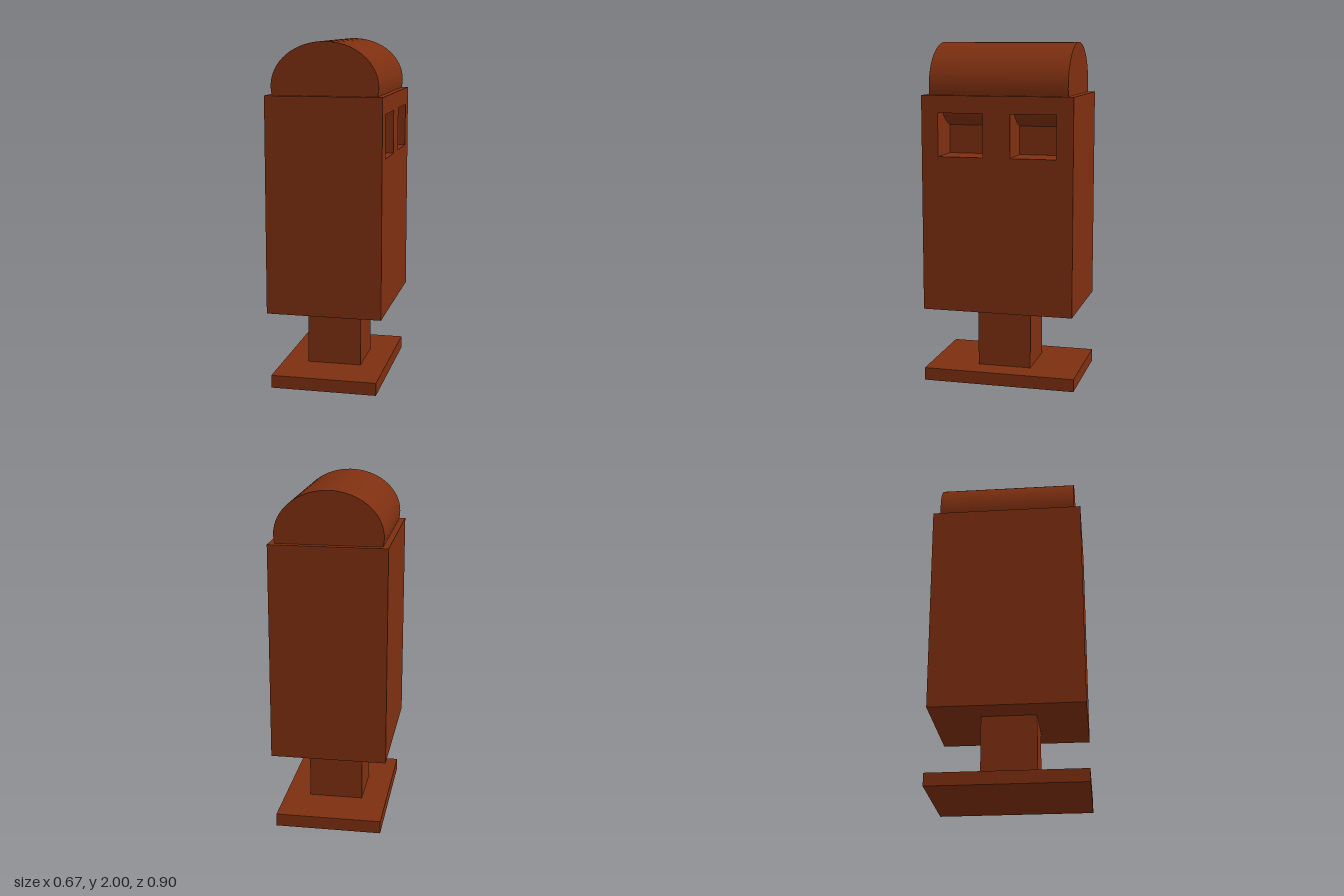
import * as THREE from 'three';

export function createModel() {
  const group = new THREE.Group();
  const material = new THREE.MeshStandardMaterial({ color: 0x7d2f10 });

  const add = (name, geometry, x = 0, y = 0, z = 0) => {
    const mesh = new THREE.Mesh(geometry, material);
    mesh.name = name;
    mesh.position.set(x, y, z);
    group.add(mesh);
  };
  // Box spanning two heights, centred on z
  const addBox = (name, x0, x1, y0, y1, depth) =>
    add(name, new THREE.BoxGeometry(x1 - x0, y1 - y0, depth), (x0 + x1) / 2, (y0 + y1) / 2);
  const rectangle = (path, x0, x1, y0, y1) =>
    path.moveTo(x0, y0).lineTo(x1, y0).lineTo(x1, y1).lineTo(x0, y1).closePath();

  // Foot and post
  addBox('basePlate', -0.31, 0.31, 0, 0.075, 0.904);
  addBox('post', -0.16, 0.16, 0.075, 0.445, 0.32);

  // Cabinet: solid rear part plus a slotted wall on the left side
  const halfWidth = 0.335, halfDepth = 0.444, bottom = 0.445, top = 1.7, slotBack = 0.11;
  addBox('cabinet', -halfWidth, slotBack, bottom, top, halfDepth * 2);

  const wall = new THREE.Shape();
  rectangle(wall, -halfDepth, halfDepth, bottom, top);
  for (const centre of [-0.213, 0.213]) {
    const slot = new THREE.Path();
    rectangle(slot, centre - 0.133, centre + 0.133, 1.35, 1.6);
    wall.holes.push(slot);
  }
  const wallGeometry = new THREE.ExtrudeGeometry(wall, {
    depth: halfWidth - slotBack, bevelEnabled: false,
  });
  wallGeometry.rotateY(Math.PI / 2);
  add('slottedWall', wallGeometry, slotBack);

  // Oval drum: forms the rounded roof and dips into the slots
  const drum = new THREE.CylinderGeometry(1, 1, 0.812, 64);
  drum.rotateX(Math.PI / 2);
  drum.scale(0.307, 0.25, 1);
  add('roofDrum', drum, 0, 1.75);

  return group;
}
